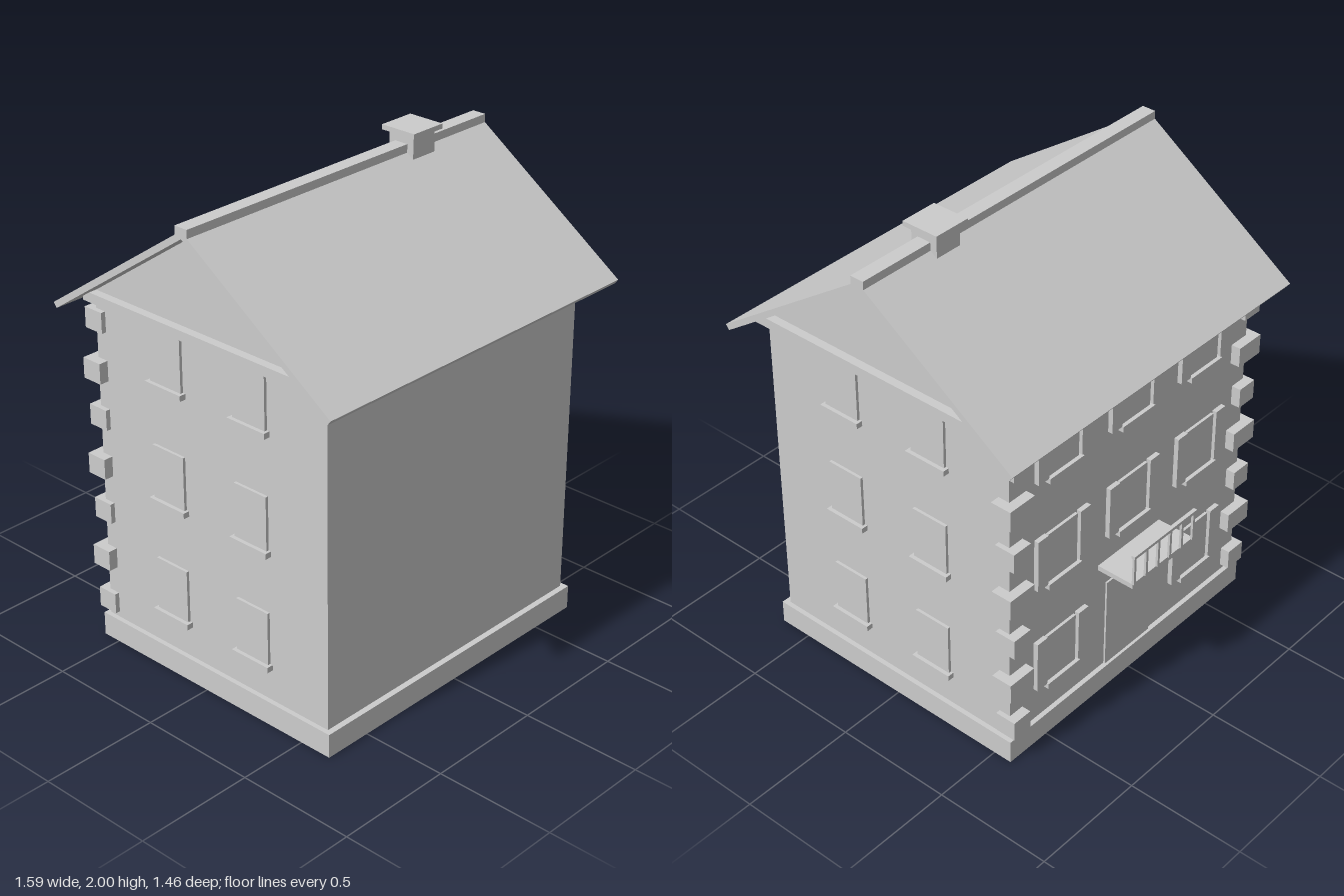
import * as THREE from 'three';

export function createModel() {
  const house = new THREE.Group();
  house.name = 'house';
  const stone = new THREE.MeshStandardMaterial({ color: 0xcccccc });
  stone.name = 'stone grey';
  const MID = 0.03;      // z of the ridge line
  const WALL_X = 0.685;  // side walls
  const BACK_Z = -0.56;  // back wall

  const add = (name, geometry, parent = house) => {
    const mesh = new THREE.Mesh(geometry, stone);
    mesh.name = name;
    parent.add(mesh);
    return mesh;
  };
  // Box given by its limits on each axis
  const box = (name, x0, x1, y0, y1, z0, z1, parent) => {
    const mesh = add(name, new THREE.BoxGeometry(x1 - x0, y1 - y0, z1 - z0), parent);
    mesh.position.set((x0 + x1) / 2, (y0 + y1) / 2, (z0 + z1) / 2);
    return mesh;
  };
  // Profile symmetric about the ridge, extruded along x
  const prism = (name, points, halfLength) => {
    const shape = new THREE.Shape(points.map(([u, y]) => new THREE.Vector2(u, y)));
    const geometry = new THREE.ExtrudeGeometry(shape, { depth: halfLength * 2, bevelEnabled: false });
    geometry.translate(0, 0, -halfLength).rotateY(Math.PI / 2);
    add(name, geometry).position.z = MID;
  };

  // Body
  box('plinth', -0.705, 0.705, 0, 0.1, -0.58, 0.64);
  box('walls', -WALL_X, WALL_X, 0.1, 1.46, BACK_Z, 0.615);
  box('cornice', -0.72, 0.72, 1.46, 1.5, -0.59, 0.65);
  prism('gable', [[-0.585, 1.5], [0.585, 1.5], [0, 1.902]], WALL_X);

  // Roof
  prism('roof', [[-0.7, 1.45], [-0.685, 1.43], [0, 1.902], [0.685, 1.43], [0.7, 1.45], [0, 1.932]], 0.793);
  box('ridgeCap', -0.793, 0.793, 1.905, 1.945, MID - 0.03, MID + 0.03);
  box('chimney', 0.34, 0.46, 1.86, 1.98, -0.03, 0.09);
  box('chimneyCap', 0.323, 0.483, 1.98, 2, -0.052, 0.108);

  // Corner stones up the two back corners, every second one wider
  for (const side of [-1, 1]) {
    for (let i = 0; i < 7; i++) {
      const half = i % 2 ? 0.065 : 0.045;
      const x = side * 0.66;
      const y = 0.125 + i * 0.2025;
      box('cornerStone', x - half, x + half, y, y + 0.085, -0.6, -0.51);
    }
  }

  // Window built facing +z with its sill at local y = 0
  const makeWindow = (x, y, z, turn, shutters) => {
    const group = new THREE.Group();
    group.name = 'window';
    box('pane', -0.081, 0.081, 0.02, 0.245, -0.005, 0.012, group);
    box('sill', -0.093, 0.093, 0, 0.023, -0.005, 0.028, group);
    if (shutters) {
      for (const side of [-1, 1]) {
        const cx = side * 0.118;
        box('shutter', cx - 0.028, cx + 0.028, 0.02, 0.25, -0.005, 0.02, group);
      }
    }
    group.position.set(x, y, z);
    group.rotation.y = turn;
    house.add(group);
  };
  for (let floor = 0; floor < 3; floor++) {
    const y = 0.233 + floor * 0.487;
    for (const side of [-1, 1]) {
      for (const z of [0.243, -0.183]) makeWindow(side * WALL_X, y, z, side * Math.PI / 2, false);
    }
    for (const x of [-0.405, 0, 0.405]) {
      if (floor > 0 || x !== 0) makeWindow(x, y, BACK_Z, Math.PI, true);
    }
  }

  // Door and the balcony above it
  box('door', -0.135, 0.135, 0.1, 0.51, BACK_Z - 0.008, BACK_Z + 0.01);
  box('balconyFloor', -0.183, 0.183, 0.6, 0.622, -0.725, BACK_Z);
  box('balconyRail', -0.187, 0.187, 0.747, 0.76, -0.735, -0.719);
  for (let i = 0; i < 6; i++) {
    const x = -0.177 + i * 0.0708;
    box('baluster', x - 0.006, x + 0.006, 0.62, 0.75, -0.731, -0.721);
  }
  return house;
}
